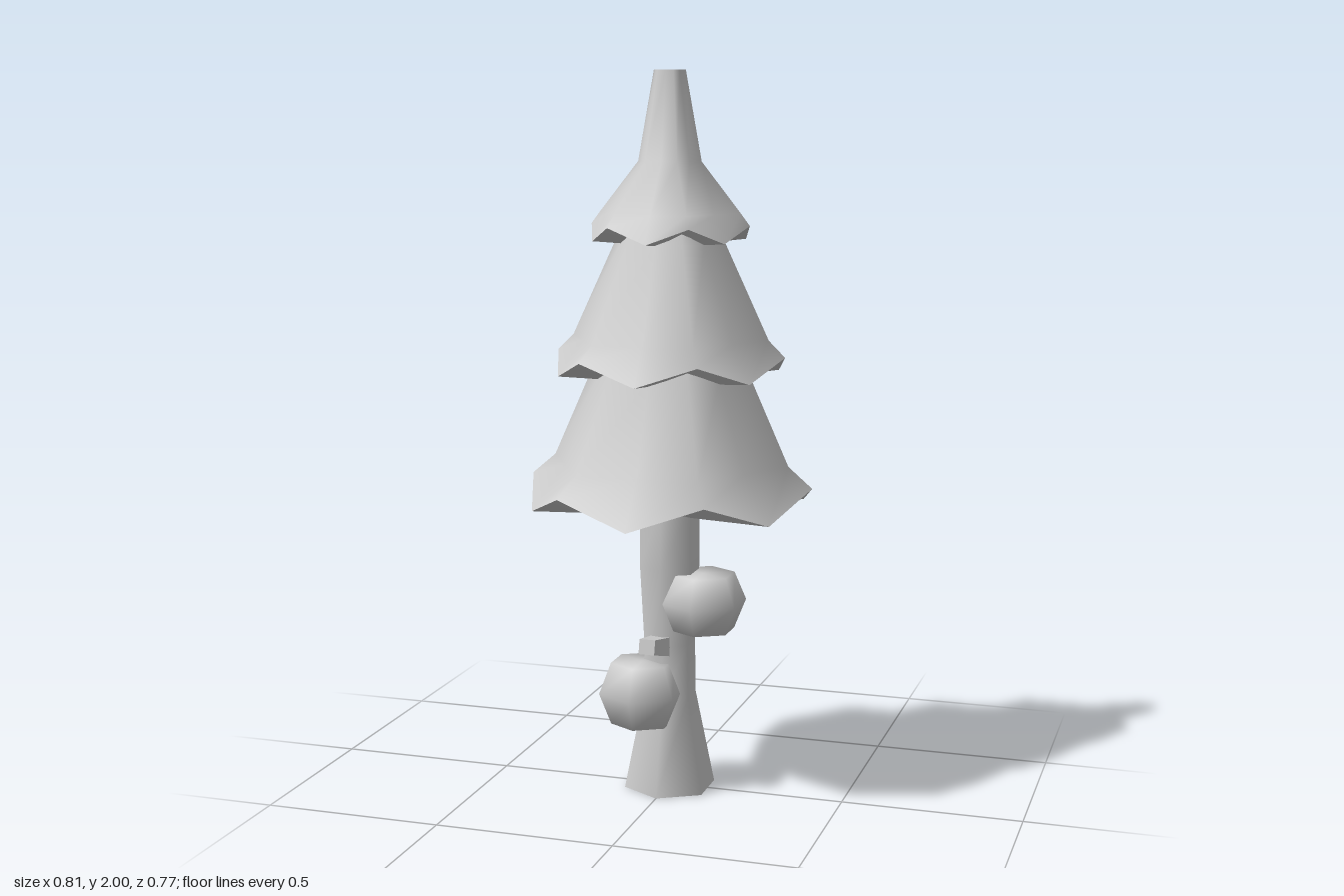
import * as THREE from 'three';

const material = new THREE.MeshStandardMaterial({ color: 0xcccccc });
const CHORD = Math.cos(Math.PI / 6);

// Smooth skin through closed rings; each ring is a function (i) => [radius, y]
function loft(rings, sides, phase = 0) {
  const pos = [], index = [];
  rings.forEach((ring) => {
    for (let i = 0; i < sides; i++) {
      const a = phase + (i / sides) * Math.PI * 2;
      const [r, y] = ring(i);
      pos.push(r * Math.cos(a), y, r * Math.sin(a));
    }
  });
  for (let j = 0; j < rings.length - 1; j++) {
    for (let i = 0; i < sides; i++) {
      const n = (i + 1) % sides;
      const a = j * sides + i, b = j * sides + n;
      index.push(a, a + sides, b, b, a + sides, b + sides);
    }
  }
  const g = new THREE.BufferGeometry();
  g.setAttribute('position', new THREE.Float32BufferAttribute(pos, 3));
  g.setIndex(index);
  g.computeVertexNormals();
  return g;
}

const round = (r, y) => () => [r, y];
// Hexagon carried on twelve points
const hex = (r, y) => (i) => [i % 2 ? r * CHORD : r, y];
// Jagged ring: corners at (r, y), points between them at (r2, y2)
const jagged = (r, y, r2, y2) => (i) => (i % 2 ? [r2, y2] : [r, y]);

function add(parent, name, geometry) {
  const mesh = new THREE.Mesh(geometry, material);
  mesh.name = name;
  parent.add(mesh);
  return mesh;
}

// Tier of needles: outer skin plus a dark underside
function addTier(parent, name, rim, upper, inner) {
  const tier = new THREE.Group();
  tier.name = name;
  add(tier, 'needles', loft([rim, ...upper], 12));
  add(tier, 'underside', loft([inner, rim], 12));
  parent.add(tier);
}

// Stub of a branch: tapered box from a base height to a raised tip
function addBranch(parent, name, x, base, tip) {
  const g = new THREE.BoxGeometry(1, 1, 1);
  const p = g.attributes.position;
  for (let i = 0; i < p.count; i++) {
    const end = p.getZ(i) > 0 ? tip : base;
    const top = p.getY(i) > 0;
    p.setXYZ(i, x + p.getX(i) * end.w, top ? end.top : end.bottom, top ? end.zTop : end.z);
  }
  // Boxes reaching backwards are mirrored, so restore the winding
  if (tip.z < base.z) g.index.array.reverse();
  const flat = g.toNonIndexed();
  flat.computeVertexNormals();
  add(parent, name, flat);
}

export function createModel() {
  const tree = new THREE.Group();
  tree.name = 'tree';

  // Trunk with a flared foot
  const trunk = [[0.13, 0], [0.075, 0.27], [0.073, 0.42], [0.085, 0.64], [0.085, 0.82]];
  add(tree, 'trunk', loft(trunk.map(([r, y]) => round(r, y)), 6, Math.PI / 2));
  add(tree, 'trunkBase', loft([round(0, 0), round(0.13, 0)], 6, Math.PI / 2));

  // Three tiers of foliage
  addTier(tree, 'lowerTier', jagged(0.405, 0.88, 0.387, 0.81),
    [hex(0.338, 0.937), hex(0.226, 1.185), hex(0.2, 1.24)], round(0, 0.78));
  addTier(tree, 'middleTier', jagged(0.326, 1.235, 0.311, 1.18),
    [hex(0.28, 1.28), hex(0.157, 1.54), hex(0.13, 1.6)], jagged(0.18, 1.2, 0.155, 1.165));
  addTier(tree, 'topTier', jagged(0.225, 1.587, 0.214, 1.545),
    [hex(0.2, 1.62), hex(0.09, 1.757), hex(0.045, 2)], jagged(0.12, 1.565, 0.1, 1.535));
  add(tree, 'tip', loft([hex(0.045, 2), round(0, 2)], 12));

  // Round leafy clumps on the trunk
  const clumps = [['upperClump', 0.1, 0.545, 0.01, 0.08], ['lowerClump', -0.062, 0.284, 0.058, 0.088]];
  for (const [name, x, y, z, h] of clumps) {
    const rings = [round(0, -h), round(0.09, -h), round(0.124, 0), round(0.09, h), round(0, h)];
    add(tree, name, loft(rings, 6, Math.PI / 2)).position.set(x, y, z);
  }

  // Branch stubs at the front and back
  addBranch(tree, 'frontBranch', -0.01,
    { w: 0.06, bottom: 0.39, top: 0.445, z: 0.05, zTop: 0.05 },
    { w: 0.045, bottom: 0.428, top: 0.468, z: 0.182, zTop: 0.172 });
  addBranch(tree, 'backBranch', 0,
    { w: 0.065, bottom: 0.633, top: 0.69, z: -0.05, zTop: -0.05 },
    { w: 0.045, bottom: 0.685, top: 0.72, z: -0.203, zTop: -0.19 });

  return tree;
}
